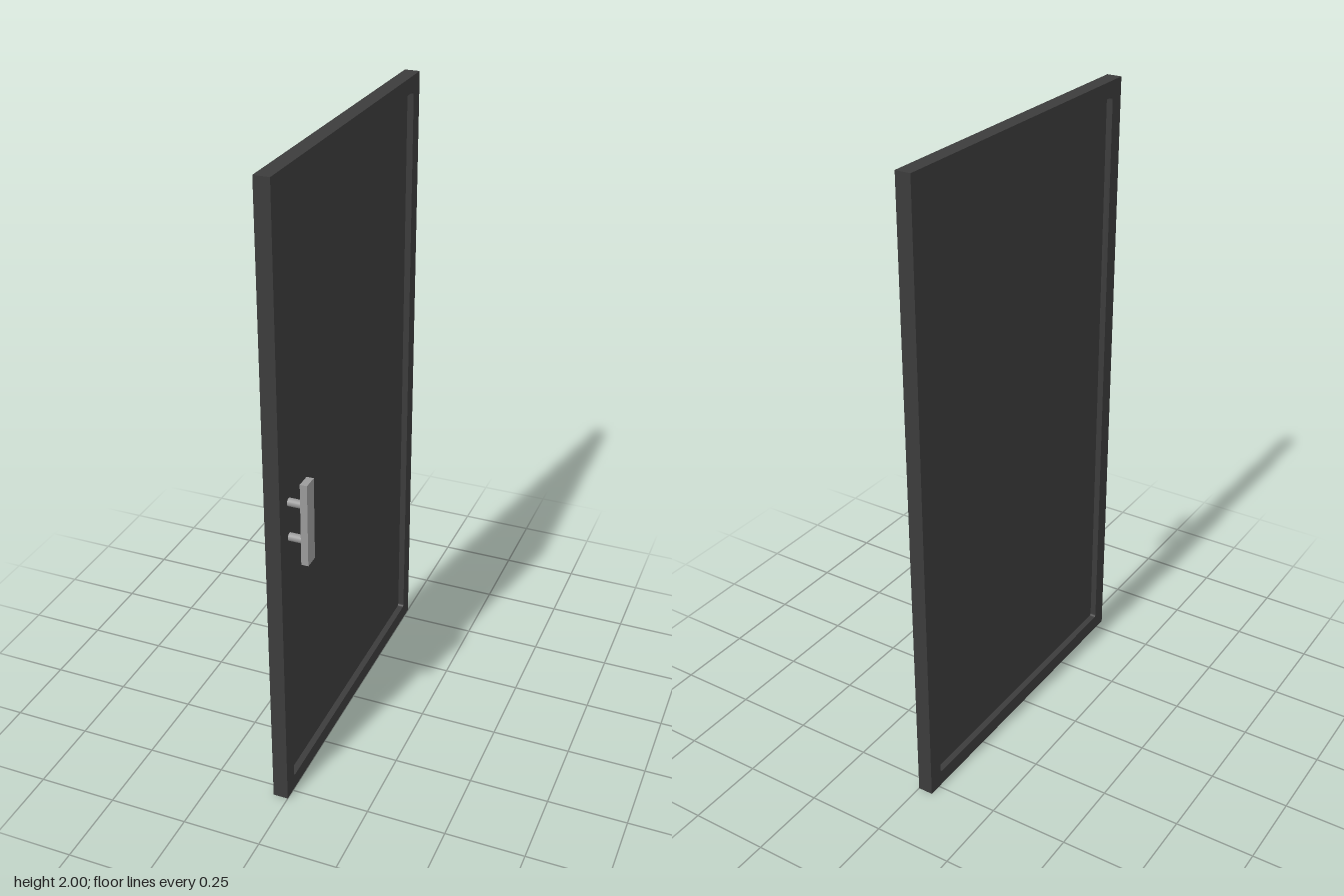
import * as THREE from 'three';

// Rounded rectangle traced onto a Shape or Path, centred on (0, cy)
function roundRect(path, w, h, r, cy) {
  const x = w / 2, b = cy - h / 2, t = cy + h / 2;
  path.moveTo(-x + r, b);
  path.lineTo(x - r, b);
  path.absarc(x - r, b + r, r, -Math.PI / 2, 0);
  path.absarc(x - r, t - r, r, 0, Math.PI / 2);
  path.absarc(-x + r, t - r, r, Math.PI / 2, Math.PI);
  path.absarc(-x + r, b + r, r, Math.PI, Math.PI * 1.5);
  return path;
}

export function createModel() {
  const charcoal = new THREE.MeshStandardMaterial({ color: 0x3c3c3c });
  charcoal.name = 'charcoal';
  const steel = new THREE.MeshStandardMaterial({ color: 0x9a9a9a });
  steel.name = 'steel';

  const door = new THREE.Group();
  door.name = 'door';
  const add = (name, geometry, material, x, y, z) => {
    const mesh = new THREE.Mesh(geometry, material);
    mesh.name = name;
    mesh.position.set(x, y, z);
    door.add(mesh);
    return mesh;
  };

  const thickness = 0.048, width = 1.08, border = 0.05, recess = 0.02;

  // Frame: a slab with a softly cornered opening, extruded along x
  const outline = new THREE.Shape([
    new THREE.Vector2(-width / 2, 0), new THREE.Vector2(width / 2, 0),
    new THREE.Vector2(width / 2, 2), new THREE.Vector2(-width / 2, 2),
  ]);
  outline.holes.push(roundRect(new THREE.Path(), width - 2 * border, 2 - 2 * border, 0.01, 1));
  const frame = new THREE.ExtrudeGeometry(outline, { depth: thickness, bevelEnabled: false, curveSegments: 6 });
  frame.rotateY(Math.PI / 2);
  add('frame', frame, charcoal, -thickness, 0, 0);

  // Panel set back from both faces of the frame
  add('panel', new THREE.BoxGeometry(thickness - 2 * recess, 2 - 2 * border, width - 2 * border),
    charcoal, -thickness / 2, 1, 0);

  // Pull handle: flat bar held off the panel by two round posts
  const handleZ = 0.436, barBack = 0.026, barFront = 0.048;
  add('handleBar', new THREE.BoxGeometry(barFront - barBack, 0.266, 0.048), steel,
    (barBack + barFront) / 2, 0.958, handleZ);
  const postLength = barBack + recess;
  for (const [name, y] of [['lowerHandlePost', 0.896], ['upperHandlePost', 1.012]]) {
    const post = new THREE.CylinderGeometry(0.0125, 0.0125, postLength, 20);
    post.rotateZ(Math.PI / 2);
    add(name, post, steel, barBack - postLength / 2, y, handleZ);
  }
  return door;
}
